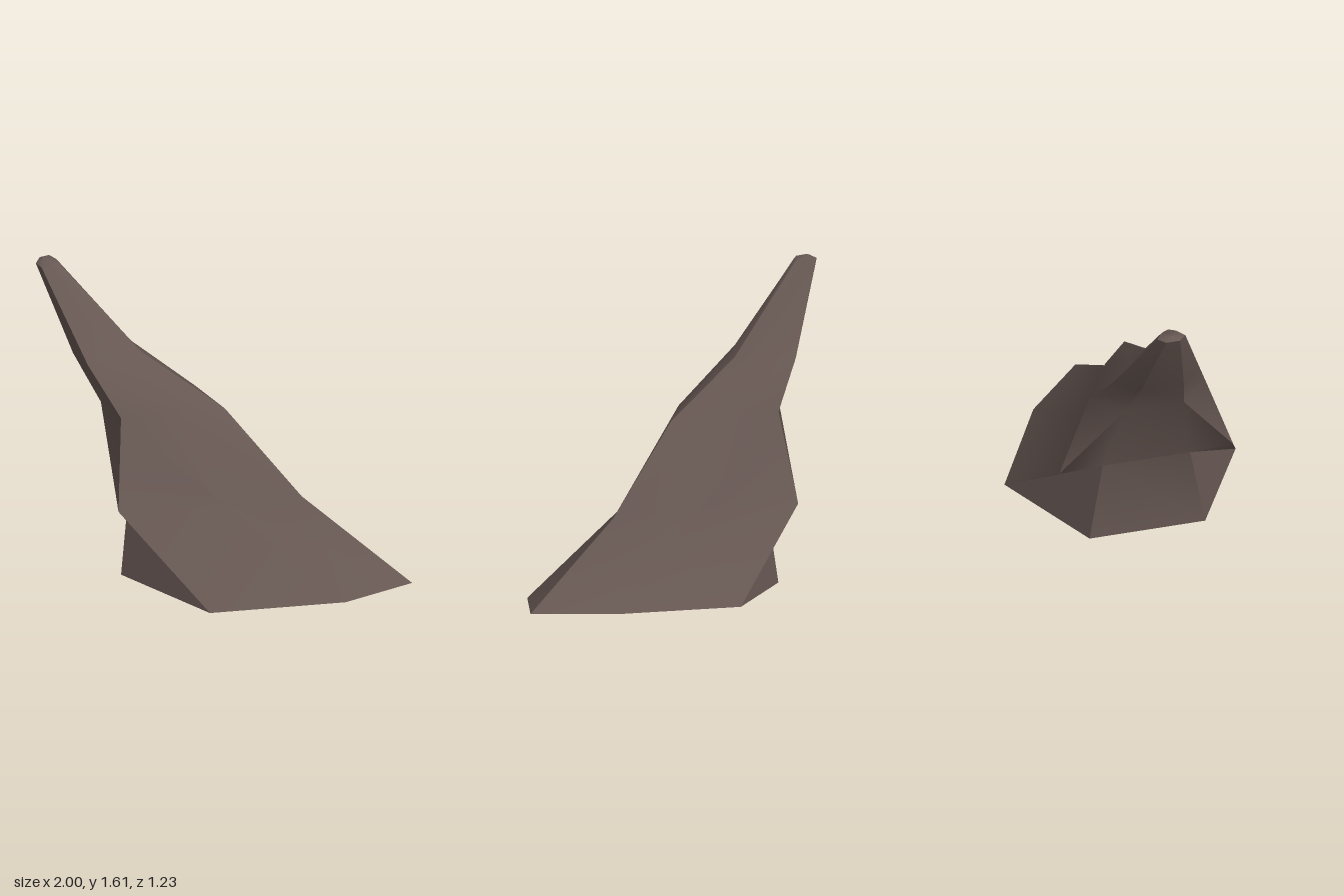
import * as THREE from 'three';
import { toCreasedNormals } from 'three/addons/utils/BufferGeometryUtils.js';

// Each level: height, then x of ridge, front flank, front crease, rear, back crease, back flank
const LEVELS = [
  { y: 0.00, ridge: 1.00, flankF: 0.73, creaseF: 0.09, rear: -0.47, creaseB: 0.09, flankB: 0.68 },
  { y: 0.44, ridge: 0.41, flankF: 0.06, creaseF: -0.44, rear: -0.45, creaseB: -0.46, flankB: 0.03 },
  { y: 0.90, ridge: 0.00, flankF: -0.20, creaseF: -0.47, rear: -0.62, creaseB: -0.47, flankB: -0.20 },
  { y: 1.14, ridge: -0.45, flankF: -0.54, creaseF: -0.67, rear: -0.78, creaseB: -0.67, flankB: -0.54 },
  { y: 1.59, ridge: -0.89, flankF: -0.91, creaseF: -0.96, rear: -1.00, creaseB: -0.96, flankB: -0.91 },
];

// Seven-sided outline of one level; the half width tapers evenly with height
function outline(l) {
  const w = 0.615 - 0.34 * l.y, h = w / 2;
  return [
    [l.ridge, l.y === 0.44 ? 0.42 : l.y === 0.9 ? 0.87 : l.y, 0],
    [l.flankF, l.y, h],
    [l.creaseF, l.y, w],
    [l.rear, l.y, h],
    [l.rear, l.y, -h],
    [l.creaseB, l.y, -w],
    [l.flankB, l.y, -h],
  ];
}

export function createModel() {
  const group = new THREE.Group();
  group.name = 'rockSpike';
  const stone = new THREE.MeshStandardMaterial({ color: 0x665752 });
  stone.name = 'brown stone';

  const rings = LEVELS.map(outline);
  const pos = [];
  const tri = (...pts) => pts.forEach((p) => pos.push(...p));
  const n = 7;

  // Walls between neighbouring levels, diagonals mirrored front to back
  for (let k = 0; k < rings.length - 1; k++) {
    for (let i = 0; i < n; i++) {
      const j = (i + 1) % n;
      const a = rings[k][i], b = rings[k][j], c = rings[k + 1][j], d = rings[k + 1][i];
      if (i < 4) { tri(a, d, c); tri(a, c, b); }
      else { tri(a, d, b); tri(b, d, c); }
    }
  }

  // Low pointed tip and flat underside
  const top = rings[rings.length - 1], base = rings[0];
  for (let i = 0; i < n; i++) {
    const j = (i + 1) % n;
    tri([-0.97, 1.61, 0], top[j], top[i]);
    tri([0.1, 0, 0], base[i], base[j]);
  }

  const geo = new THREE.BufferGeometry();
  geo.setAttribute('position', new THREE.Float32BufferAttribute(pos, 3));
  const rock = new THREE.Mesh(toCreasedNormals(geo, 0.6), stone);
  rock.name = 'rock';
  group.add(rock);
  return group;
}
